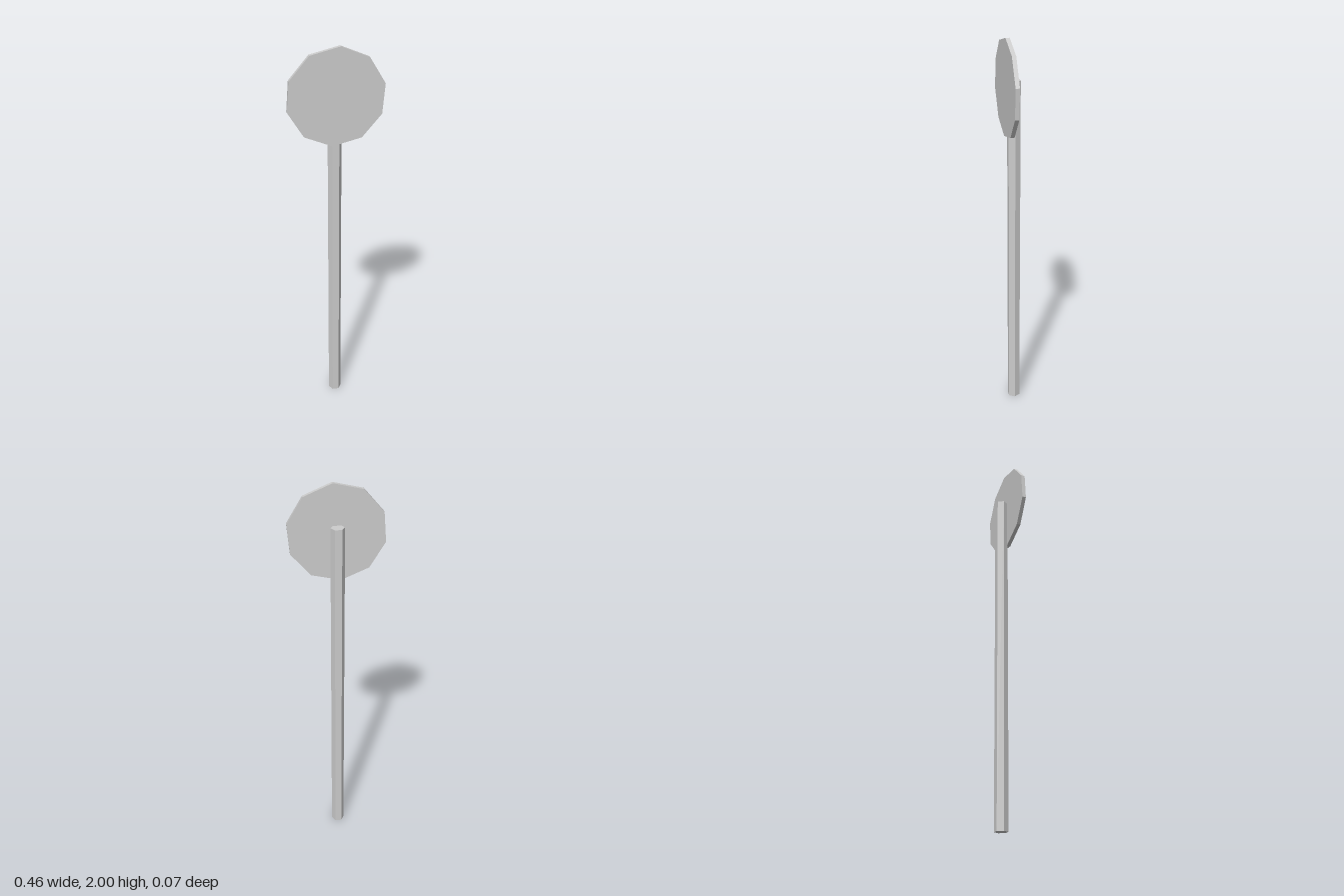
import * as THREE from 'three';

export function createModel() {
  const group = new THREE.Group();
  const material = new THREE.MeshStandardMaterial({ color: 0xcccccc, flatShading: true });

  const addPart = (name, geometry, x, y, z) => {
    const mesh = new THREE.Mesh(geometry, material);
    mesh.name = name;
    mesh.position.set(x, y, z);
    group.add(mesh);
  };

  // Hexagonal post, flat faces to the front and back
  const postHeight = 1.8;
  const post = new THREE.CylinderGeometry(0.034, 0.034, postHeight, 6, 1, false, Math.PI / 6);
  addPart('post', post, 0, postHeight / 2, -0.008);

  // Ten-sided sign plate, turned slightly about its axis and set into the post's front
  const tilt = THREE.MathUtils.degToRad(-4.7);
  const plate = new THREE.CylinderGeometry(0.238, 0.238, 0.02, 10, 1, false, tilt);
  plate.rotateX(Math.PI / 2);
  addPart('signPlate', plate, 0, 1.7625, 0.026);

  return group;
}
